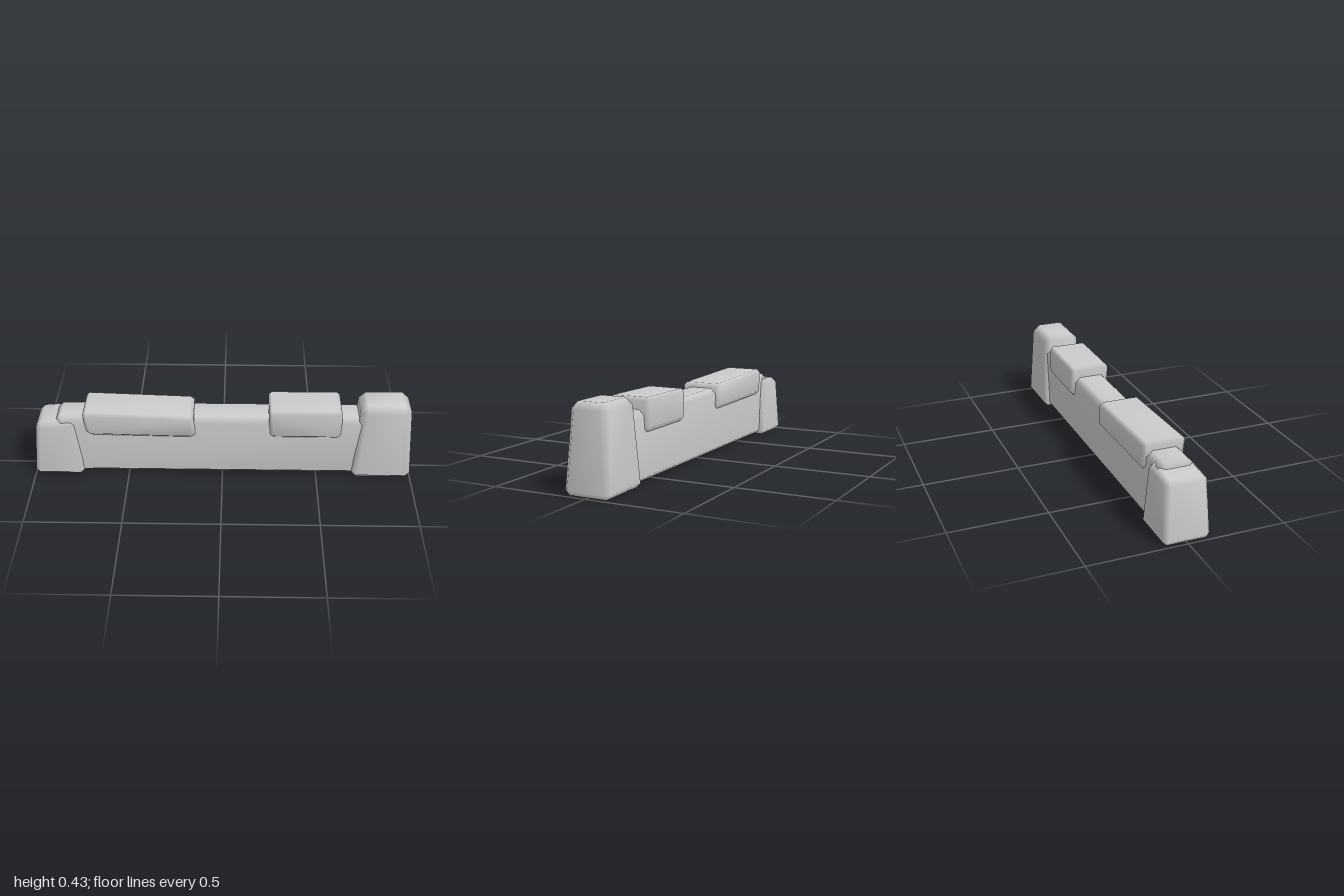
import * as THREE from 'three';
import { ConvexGeometry } from 'three/addons/geometries/ConvexGeometry.js';
import { mergeVertices } from 'three/addons/utils/BufferGeometryUtils.js';

const lerp = THREE.MathUtils.lerp;

// Tapered block with chamfered edges and soft normals.
// bottom/top: [x0, x1, y at x0, y at x1, z back, z front]; bevel sizes at each end.
function bevelBlock(name, bottom, top, bevelBottom, bevelTop) {
  const points = [];
  const height = top[2] - bottom[2];
  for (const sx of [-1, 1]) for (const sy of [-1, 1]) for (const sz of [-1, 1]) {
    const b = sy < 0 ? bevelBottom : bevelTop;
    // each corner splits into three points, one per adjoining face
    for (let face = 0; face < 3; face++) {
      const inset = face === 1 ? 0 : b / height;
      const t = sy < 0 ? inset : 1 - inset;
      const r = bottom.map((v, i) => lerp(v, top[i], t));
      const x = (sx < 0 ? r[0] : r[1]) - (face === 0 ? 0 : sx * b);
      const z = (sz < 0 ? r[4] : r[5]) - (face === 2 ? 0 : sz * b);
      const y = lerp(r[2], r[3], (x - r[0]) / (r[1] - r[0]));
      points.push(new THREE.Vector3(x, y, z));
    }
  }
  let geometry = new ConvexGeometry(points);
  geometry.deleteAttribute('normal');
  geometry = mergeVertices(geometry, 1e-4);
  geometry.computeVertexNormals();
  const mesh = new THREE.Mesh(geometry, new THREE.MeshStandardMaterial({ color: 0xcccccc }));
  mesh.name = name;
  return mesh;
}

export function createModel() {
  const group = new THREE.Group();
  group.name = 'lowWall';
  group.add(
    // long wall body
    bevelBlock('wall', [-0.87, 0.8, 0.01, 0.01, -0.092, 0.092], [-0.87, 0.8, 0.353, 0.353, -0.088, 0.088], 0.02, 0.028),
    // end posts
    bevelBlock('shortPost', [-1, -0.737, 0, 0, -0.122, 0.118], [-0.972, -0.766, 0.318, 0.335, -0.108, 0.104], 0.022, 0.026),
    bevelBlock('tallPost', [0.688, 1, 0, 0, -0.122, 0.123], [0.714, 0.973, 0.432, 0.432, -0.1, 0.101], 0.025, 0.035),
    // cap stones over the wall
    bevelBlock('longCapStone', [-0.71, -0.135, 0.248, 0.238, -0.11, 0.11], [-0.724, -0.152, 0.397, 0.377, -0.107, 0.114], 0.025, 0.018),
    bevelBlock('shortCapStone', [0.242, 0.626, 0.24, 0.24, -0.11, 0.106], [0.24, 0.616, 0.409, 0.412, -0.108, 0.106], 0.025, 0.016),
  );
  return group;
}
